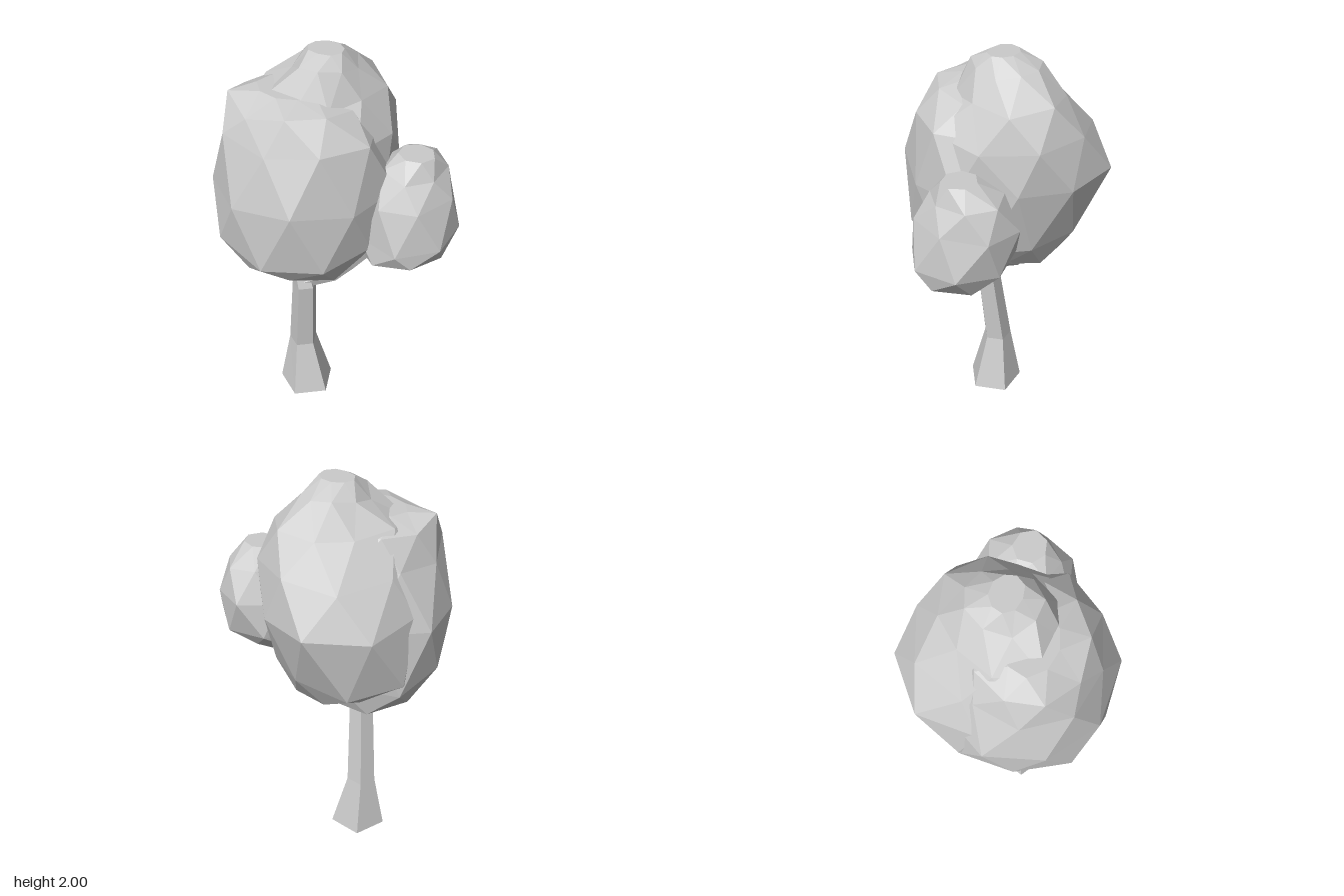
import * as THREE from 'three';

const material = new THREE.MeshStandardMaterial({ color: 0xcccccc, flatShading: true });

// small seeded generator, returns -1..1
function seeded(seed) {
  return () => {
    seed = (seed * 16807) % 2147483647;
    return (seed / 2147483647) * 2 - 1;
  };
}

// Closed skin over horizontal rings, bottom to top: [y, xMin, xMax, zMin, zMax, skew].
// Skew stretches a ring along its back-left diagonal and narrows it across.
// Jitter roughens the radius and height; stagger turns every other ring half a step.
function loft(rings, sides, { jitter = 0, lift = 0, stagger = false, turn = 0, seed = 7 } = {}) {
  const rand = seeded(seed);
  const last = rings.length - 1;
  const pos = [];
  const index = [];
  rings.forEach(([y, x0, x1, z0, z1, skew = 0], r) => {
    const inner = r > 0 && r < last;
    for (let i = 0; i < sides; i++) {
      const a = turn + ((i + (stagger && r % 2 ? 0.5 : 0)) / sides) * Math.PI * 2;
      const k = (1 + jitter * (0.5 + rand())) * (1 + skew * Math.sin(2 * a));
      const dy = inner ? lift * rand() : 0;
      pos.push((x0 + x1) / 2 + ((x1 - x0) / 2) * k * Math.sin(a), y + dy,
        (z0 + z1) / 2 + ((z1 - z0) / 2) * k * Math.cos(a));
    }
  });
  for (let r = 0; r < last; r++) {
    for (let i = 0; i < sides; i++) {
      const j = (i + 1) % sides;
      const a = r * sides + i, b = r * sides + j;
      const c = a + sides, d = b + sides;
      if (stagger && r % 2) index.push(a, b, d, a, d, c);
      else index.push(a, b, c, b, d, c);
    }
  }
  // end caps
  for (let i = 1; i < sides - 1; i++) {
    index.push(0, i + 1, i);
    index.push(last * sides, last * sides + i, last * sides + i + 1);
  }
  const g = new THREE.BufferGeometry();
  g.setAttribute('position', new THREE.Float32BufferAttribute(pos, 3));
  g.setIndex(index);
  const flat = g.toNonIndexed();
  flat.computeVertexNormals();
  return flat;
}

export function createModel() {
  const tree = new THREE.Group();
  tree.name = 'tree';
  const add = (name, geometry) => {
    const mesh = new THREE.Mesh(geometry, material);
    mesh.name = name;
    tree.add(mesh);
  };

  // five-sided trunk, flared at the foot and bending slightly
  add('trunk', loft([
    [0, -0.307, -0.013, -0.07, 0.22],
    [0.3, -0.255, -0.105, -0.005, 0.145],
    [0.73, -0.205, -0.08, 0.045, 0.17],
    [0.9, -0.24, -0.14, 0.04, 0.14],
    [1.05, -0.27, -0.18, 0.03, 0.12],
  ], 5));

  // side branch reaching the small crown, in four straight pieces of equal length
  const path = new THREE.CurvePath();
  const bends = [[-0.14, 0.755, 0.11], [-0.02, 0.79, 0.045], [0.07, 0.89, 0.03],
    [0.16, 1.0, 0.005], [0.25, 1.11, -0.02]].map((p) => new THREE.Vector3(...p));
  for (let i = 0; i < bends.length - 1; i++) path.add(new THREE.LineCurve3(bends[i], bends[i + 1]));
  add('branch', new THREE.TubeGeometry(path, 4, 0.04, 5).toNonIndexed());

  // front mass of leaves with a flattened top
  add('frontFoliage', loft([
    [0.9, -0.26, 0.03, -0.08, 0.1],
    [0.97, -0.48, 0.14, -0.23, 0.4],
    [1.11, -0.555, 0.25, -0.3, 0.465],
    [1.4, -0.565, 0.275, -0.3, 0.48],
    [1.66, -0.51, 0.22, -0.22, 0.43],
    [1.81, -0.45, 0.1, -0.12, 0.36],
    [1.85, -0.33, -0.04, 0.0, 0.24],
  ], 9, { jitter: 0.06, lift: 0.03, stagger: true, seed: 41 }));

  // taller mass of leaves behind it
  add('backFoliage', loft([
    [0.9, -0.25, 0.0, -0.1, 0.1],
    [0.98, -0.4, 0.14, -0.28, 0.25],
    [1.12, -0.51, 0.22, -0.37, 0.3, 0.07],
    [1.46, -0.53, 0.25, -0.475, 0.34, 0.09],
    [1.65, -0.46, 0.23, -0.4, 0.36],
    [1.8, -0.35, 0.15, -0.31, 0.25, -0.13],
    [1.93, -0.22, 0.06, -0.2, 0.13],
    [2.0, -0.16, 0.01, -0.09, 0.05],
  ], 9, { jitter: 0.06, lift: 0.03, stagger: true, turn: 0.3, seed: 93 }));

  // small crown on the branch
  add('sideFoliage', loft([
    [1.0, 0.17, 0.37, -0.08, 0.1],
    [1.07, 0.11, 0.53, -0.2, 0.19],
    [1.17, 0.11, 0.575, -0.28, 0.2],
    [1.36, 0.13, 0.54, -0.31, 0.18],
    [1.5, 0.2, 0.495, -0.25, 0.1],
    [1.57, 0.28, 0.45, -0.13, 0.03],
  ], 7, { jitter: 0.04, lift: 0.02, stagger: true, turn: 0.2, seed: 17 }));

  return tree;
}
